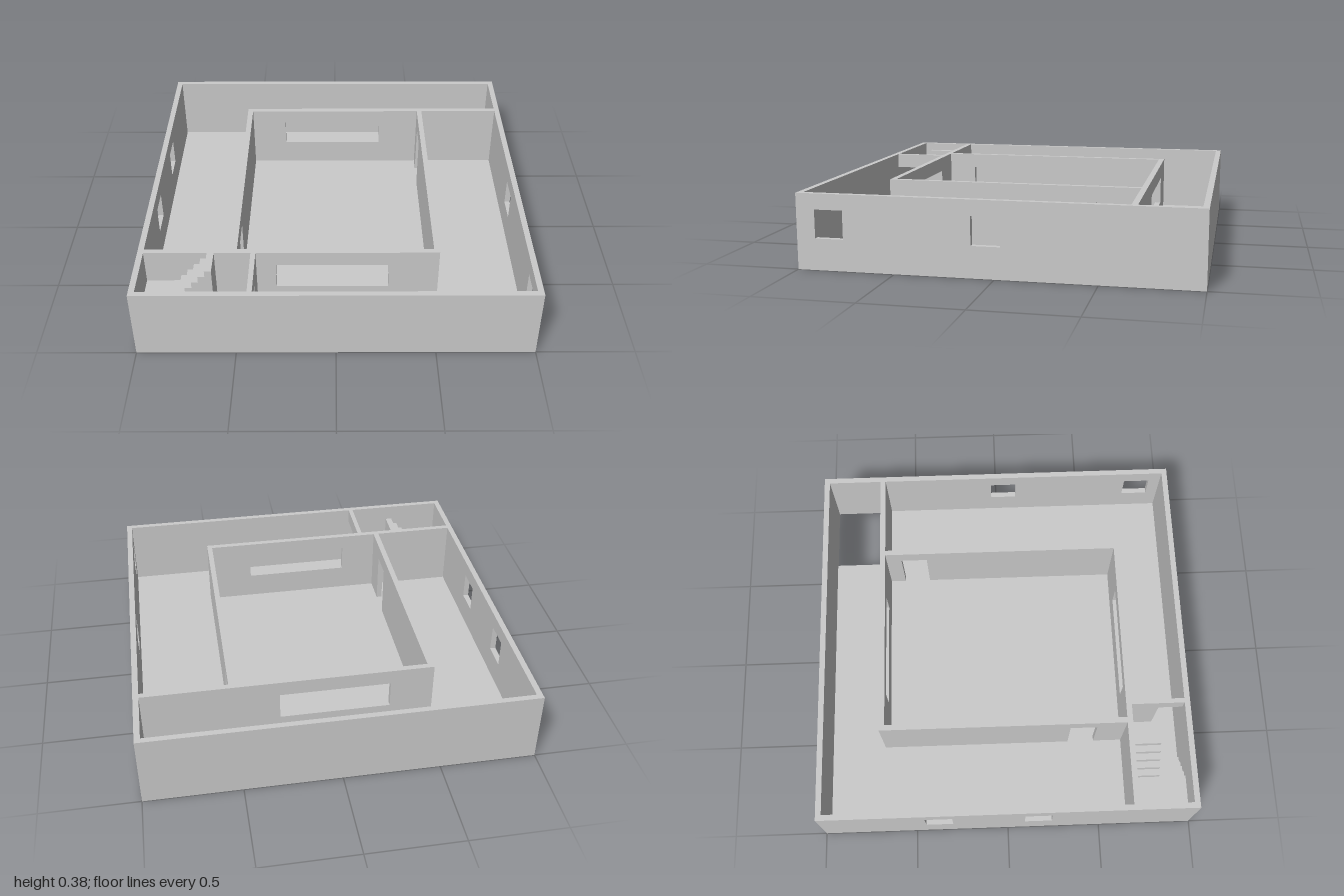
import * as THREE from 'three';

const HEIGHT = 0.385, FLOOR = 0.02;
const SILL = 0.16, HEAD = 0.305;
const material = new THREE.MeshStandardMaterial({ color: 0xcccccc, flatShading: true });

function rect(PathType, x0, y0, x1, y1) {
  const p = new PathType();
  p.moveTo(x0, y0);
  p.lineTo(x1, y0);
  p.lineTo(x1, y1);
  p.lineTo(x0, y1);
  p.closePath();
  return p;
}

function extrude(shape, depth) {
  return new THREE.ExtrudeGeometry(shape, { depth, bevelEnabled: false });
}

export function createModel() {
  const group = new THREE.Group();

  function add(name, geometry) {
    const mesh = new THREE.Mesh(geometry, material);
    mesh.name = name;
    group.add(mesh);
  }

  // Wall running along 'x' or 'z' from u0 to u1, filling v0..v1 across it.
  // Windows and doors are [from, to] ranges along the wall.
  function wall(name, axis, u0, u1, v0, v1, { windows = [], doors = [] } = {}) {
    const shape = new THREE.Shape();
    shape.moveTo(u0, FLOOR);
    for (const [a, b] of doors) {
      shape.lineTo(a, FLOOR);
      shape.lineTo(a, HEAD);
      shape.lineTo(b, HEAD);
      shape.lineTo(b, FLOOR);
    }
    shape.lineTo(u1, FLOOR);
    shape.lineTo(u1, HEIGHT);
    shape.lineTo(u0, HEIGHT);
    shape.closePath();
    for (const [a, b] of windows) shape.holes.push(rect(THREE.Path, a, SILL, b, HEAD));
    const geometry = extrude(shape, v1 - v0);
    if (axis === 'x') geometry.translate(0, 0, v0);
    else geometry.rotateY(-Math.PI / 2).translate(v1, 0, 0);
    add(name, geometry);
  }

  // Floor slab with the stairwell opening in the back corner
  const slab = rect(THREE.Shape, -1, -1, 1, 1);
  slab.holes.push(rect(THREE.Path, 0.61, 0.69, 0.97, 0.97));
  add('floor', extrude(slab, FLOOR).rotateX(-Math.PI / 2));

  // Outer walls
  wall('frontWall', 'x', -1, 1, 0.97, 1);
  wall('backWall', 'x', -1, 1, -1, -0.97);
  wall('rightSideWall', 'z', -0.97, 0.97, -1, -0.97, { windows: [[-0.44, -0.295], [0.09, 0.235]] });
  wall('leftSideWall', 'z', -0.97, 0.97, 0.97, 1, { windows: [[-0.03, 0.115], [0.76, 0.905]] });

  // Inner room walls, two of them running on to the outer walls
  const wide = [[-0.305, 0.27]];
  wall('roomBackWall', 'x', -0.53, 0.97, -0.675, -0.645, { windows: wide });
  wall('roomFrontWall', 'x', -0.97, 0.525, 0.655, 0.685, { windows: wide });
  wall('roomRightWall', 'z', -0.645, 0.655, -0.53, -0.5, { doors: [[0.355, 0.5]] });
  wall('roomLeftWall', 'z', -0.645, 0.655, 0.497, 0.525, { doors: [[-0.56, -0.415]] });

  // Stair room partition, its doorway against the front wall
  wall('stairPartition', 'z', 0.685, 0.98, -0.43, -0.405, { doors: [[0.84, 0.97]] });

  // Staircase: lower flight, half landing, upper flight back the other way
  const rise = (HEIGHT - FLOOR) / 10, tread = 0.035, landingX = -0.79;
  function block(name, x0, x1, z0, z1, level) {
    const h = level * rise;
    const geometry = new THREE.BoxGeometry(x1 - x0, h, z1 - z0);
    add(name, geometry.translate((x0 + x1) / 2, FLOOR + h / 2, (z0 + z1) / 2));
  }
  block('landing', -0.97, landingX, 0.685, 0.97, 5);
  for (let i = 0; i < 4; i++) {
    const x = landingX + i * tread;
    block('lowerStep', x, x + tread, 0.825, 0.97, 4 - i);
  }
  for (let i = 0; i < 5; i++) {
    const x = landingX + i * tread;
    block('upperStep', x, x + tread, 0.685, 0.825, 6 + i);
  }

  return group;
}
